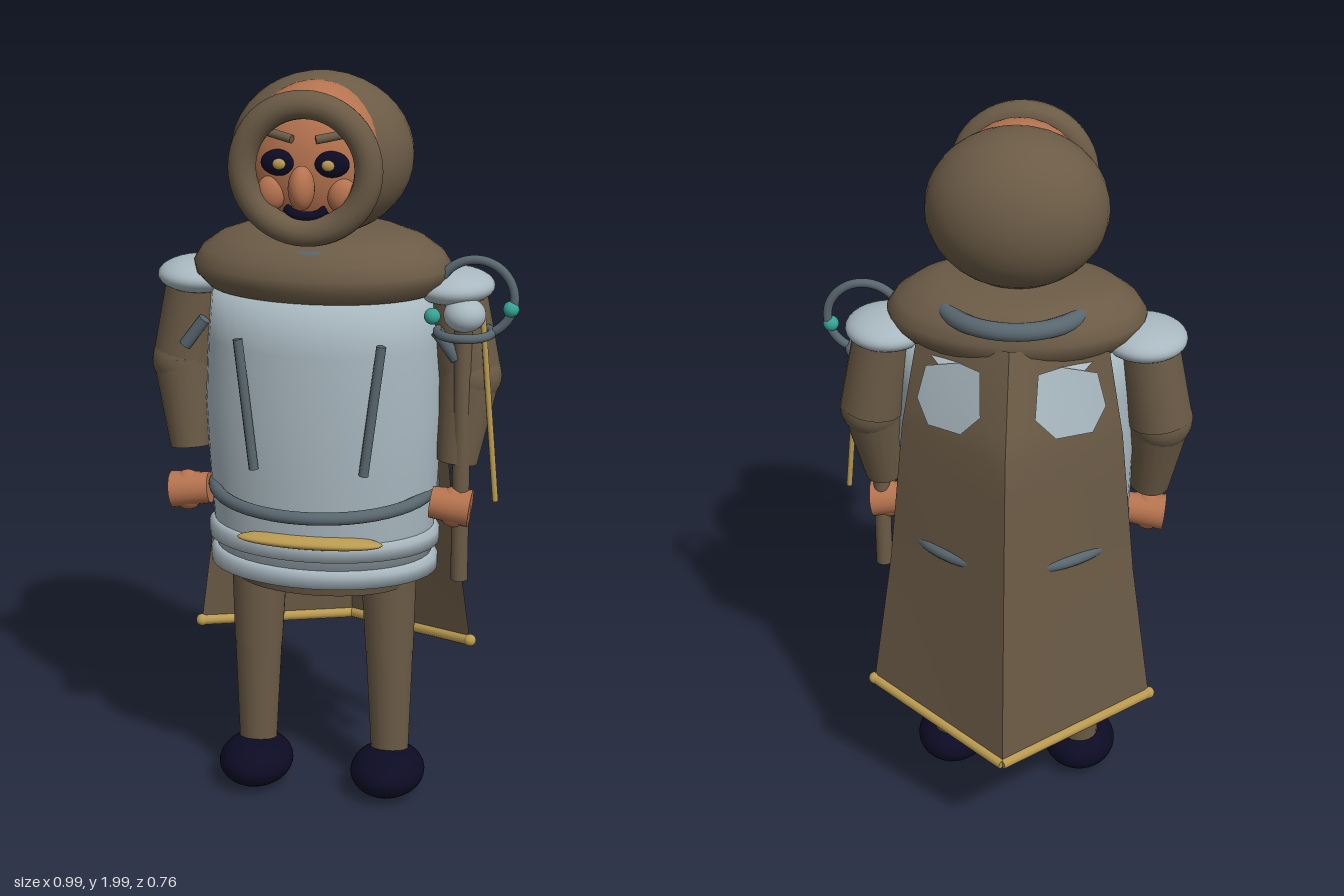
import * as THREE from 'three';

const mat = (name, color, side = THREE.FrontSide) => {
  const m = new THREE.MeshStandardMaterial({ color, side });
  m.name = name;
  return m;
};
const V = (x, y, z) => new THREE.Vector3(x, y, z);
const CX = -0.025; // body mid-plane

export function createModel() {
  const root = new THREE.Group();
  root.name = 'cloakedTraveller';
  const brown = mat('brownCloth', 0x6b5b46);
  const cloak = mat('cloakBrown', 0x6a5a45, THREE.DoubleSide);
  const plate = mat('paleSteel', 0xa9b8c0, THREE.DoubleSide);
  const steel = mat('darkSteel', 0x58666e);
  const gold = mat('gold', 0xb99a50);
  const skin = mat('skin', 0xb5734f);
  const navy = mat('navy', 0x0c0b24);
  const teal = mat('teal', 0x35a394);

  const add = (name, geo, m, x = 0, y = 0, z = 0) => {
    const o = new THREE.Mesh(geo, m);
    o.name = name;
    o.position.set(x, y, z);
    root.add(o);
    return o;
  };
  const ball = (name, m, x, y, z, rx, ry = rx, rz = rx) => {
    const o = add(name, new THREE.SphereGeometry(1, 32, 20), m, x, y, z);
    o.scale.set(rx, ry, rz);
    return o;
  };
  // tapered rod between two points
  const rod = (name, m, a, b, ra, rb = ra, sides = 20) => {
    const d = b.clone().sub(a), mid = a.clone().add(b).multiplyScalar(0.5);
    const o = add(name, new THREE.CylinderGeometry(rb, ra, d.length(), sides), m, mid.x, mid.y, mid.z);
    o.quaternion.setFromUnitVectors(V(0, 1, 0), d.normalize());
    return o;
  };
  const lathe = (name, m, pts, z, sz) => {
    const o = add(name, new THREE.LatheGeometry(pts.map(p => new THREE.Vector2(...p)), 40), m, CX, 0, z);
    o.scale.z = sz;
    return o;
  };
  const ring = (name, m, R, r, x, y, z, flat, arc = Math.PI * 2) => {
    const o = add(name, new THREE.TorusGeometry(R, r, 14, 48, arc), m, x, y, z);
    if (flat) o.rotation.x = Math.PI / 2;
    return o;
  };

  // head, hood and rim
  ball('hood', brown, CX, 1.79, 0.065, 0.237, 0.21, 0.19);
  ball('head', skin, CX, 1.79, 0.15, 0.18, 0.2, 0.15);
  ring('hoodRim', brown, 0.16, 0.036, CX, 1.792, 0.287);
  ball('nose', skin, CX, 1.753, 0.333, 0.033, 0.056, 0.042);
  for (const s of [-1, 1]) {
    ball('cheek', skin, CX + s * 0.09, 1.725, 0.27, 0.038, 0.045, 0.03);
    ball('eye', navy, CX + s * 0.066, 1.806, 0.286, 0.046, 0.033, 0.022);
    ball('pupil', gold, CX + s * 0.062, 1.806, 0.304, 0.017, 0.014, 0.009);
    rod('eyebrow', brown, V(CX + s * 0.03, 1.868, 0.3), V(CX + s * 0.095, 1.88, 0.278), 0.011);
  }
  const smile = new THREE.CatmullRomCurve3([[-0.05, 1.69, 0.275], [-0.03, 1.677, 0.286],
    [0, 1.674, 0.292], [0.03, 1.677, 0.286], [0.05, 1.69, 0.275]].map(p => V(p[0] + CX, p[1], p[2])));
  add('mouth', new THREE.TubeGeometry(smile, 16, 0.012, 8), navy);

  // cowl and collar
  lathe('cowl', brown, [[0, 1.42], [0.24, 1.425], [0.3, 1.44], [0.335, 1.475], [0.34, 1.505],
    [0.318, 1.54], [0.27, 1.575], [0.2, 1.6], [0, 1.605]], 0.065, 0.66);
  ring('collar', steel, 0.197, 0.024, CX, 1.553, 0.035, true);

  // breastplate, waist hoops and tunic
  lathe('breastplate', plate, [[0, 0.69], [0.29, 0.69], [0.3, 0.8], [0.31, 0.95], [0.317, 1.12],
    [0.308, 1.3], [0.295, 1.44], [0, 1.47]], 0.055, 0.7);
  for (const [y, r] of [[0.768, 0.314], [0.692, 0.31]])
    lathe('waistHoop', plate, [[0.27, y - 0.024], [r, y - 0.024], [r, y + 0.01], [r - 0.014, y + 0.024], [0.27, y + 0.024]], 0.055, 0.7);
  lathe('tunicSkirt', cloak, [[0.235, 0.625], [0.265, 0.72]], 0.065, 0.62);
  ring('belt', steel, 0.294, 0.017, CX, 0.893, 0.05, true);
  ball('buckle', gold, CX, 0.796, 0.25, 0.195, 0.019, 0.046);

  // mirrored limbs
  for (const s of [-1, 1]) {
    const X = d => CX + s * d;
    rod('chestRib', steel, V(X(0.187), 1.335, 0.247), V(X(0.145), 0.99, 0.264), 0.013, 0.013, 8);
    ball('shoulderPad', plate, X(0.336), 1.45, 0.035, 0.112, 0.047, 0.116);
    rod('upperArm', brown, V(X(0.385), 1.21, 0.03), V(X(0.345), 1.45, 0.03), 0.085, 0.078);
    ball('elbow', brown, X(0.387), 1.21, 0.034, 0.084);
    rod('forearm', brown, V(X(0.362), 0.98, 0.075), V(X(0.385), 1.215, 0.035), 0.054, 0.083);
    rod('armStrap', steel, V(X(0.362), 1.272, 0.11), V(X(0.308), 1.345, 0.11), 0.017, 0.017, 10);
    ball('palm', skin, X(0.362), 0.866, 0.112, 0.045, 0.056, 0.038);
    rod('fist', skin, V(X(0.405), 0.864, 0.112), V(X(0.3), 0.876, 0.112), 0.05, 0.042);
    rod('thigh', brown, V(X(0.183), 0.42, 0.06), V(X(0.178), 0.7, 0.055), 0.066, 0.078);
    rod('shin', brown, V(X(0.187), 0.08, 0.065), V(X(0.183), 0.425, 0.06), 0.05, 0.065);
    ball('shoe', navy, X(0.186), 0.073, 0.095, 0.102, 0.067, 0.124);
  }

  // cloak rows: [half width, edge y, edge z, spine y, spine z]
  const rows = [[0.25, 1.46, -0.07, 1.5, -0.168], [0.29, 1.22, -0.08, 1.23, -0.285],
    [0.33, 0.8, -0.085, 0.78, -0.33], [0.385, 0.395, -0.095, 0.335, -0.37]];
  // point on a panel; t runs from the spine (0) to the edge (1), v along the rows
  const onCloak = (s, t, v, off = 0) => {
    const i = Math.min(Math.floor(v), 2), f = v - i;
    const [w, ey, ez, sy, sz] = rows[i].map((a, k) => a + (rows[i + 1][k] - a) * f);
    return V(CX + s * (w * t + off * 0.5), sy + (ey - sy) * t, sz + (ez - sz) * t - off);
  };
  const surface = (pts, idx) => {
    const g = new THREE.BufferGeometry().setFromPoints(pts);
    g.setIndex(idx);
    g.computeVertexNormals();
    return g;
  };
  for (const s of [-1, 1]) {
    const pts = [], idx = [], N = 6, M = 12;
    for (let j = 0; j <= M; j++) for (let i = 0; i <= N; i++) pts.push(onCloak(s, i / N, j * 3 / M));
    for (let j = 0; j < M; j++) for (let i = 0; i < N; i++) {
      const a = j * (N + 1) + i, b = a + 1, c = a + N + 1, d = c + 1;
      if (s > 0) idx.push(a, b, c, b, d, c);
      else idx.push(a, c, b, b, c, d);
    }
    add('cloakPanel', surface(pts, idx), cloak);
    // exposed back plate
    const outline = [[0.27, 0.2], [0.5, 0.14], [0.84, 0.22], [0.88, 0.6], [0.74, 0.86], [0.42, 0.84], [0.24, 0.62]];
    const fan = [[0.55, 0.5], ...outline].map(([t, v]) => onCloak(s, t, v, 0.008));
    const tri = outline.flatMap((_, i) => {
      const a = i + 1, b = (i + 1) % outline.length + 1;
      return s > 0 ? [0, a, b] : [0, b, a];
    });
    add('backPlate', surface(fan, tri), plate);
    rod('cloakHem', gold, onCloak(s, 0, 3), onCloak(s, 1, 3), 0.015, 0.015, 10);
    ball('hemEnd', gold, ...onCloak(s, 1, 3).toArray(), 0.017);
  }

  // staff with hoops, beads and cord
  rod('staff', brown, V(0.352, 0.66, 0.105), V(0.352, 1.37, 0.105), 0.023);
  ball('staffKnob', plate, 0.355, 1.392, 0.11, 0.055, 0.045, 0.055);
  ring('staffHoop', steel, 0.07, 0.012, 0.355, 1.345, 0.105, true);
  ring('staffCrescent', steel, 0.1, 0.012, 0.382, 1.437, 0.105, false, Math.PI * 4 / 3).rotation.z = -Math.PI / 3;
  ball('bead', teal, 0.286, 1.412, 0.212, 0.021);
  ball('bead', teal, 0.474, 1.412, 0.108, 0.021);
  rod('cord', gold, V(0.447, 0.895, 0.127), V(0.4, 1.4, 0.1), 0.008, 0.008, 8);

  return root;
}
